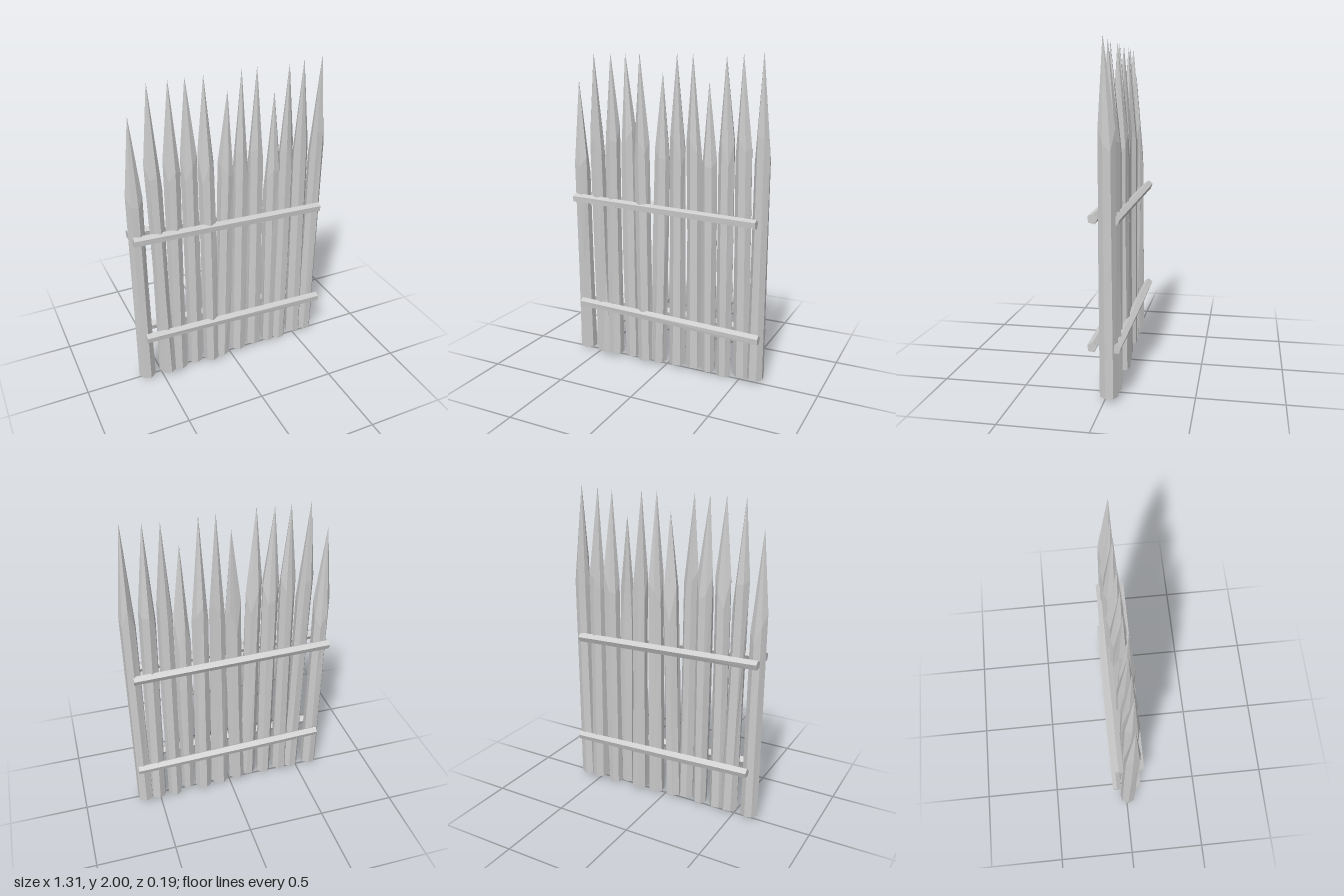
import * as THREE from 'three';

const material = new THREE.MeshStandardMaterial({ color: 0xcccccc, flatShading: true });

// Small seeded random, -1..1
function seeded(seed) {
  let s = seed * 7919 + 17;
  return () => {
    s = (s * 16807) % 2147483647;
    return (s / 2147483647) * 2 - 1;
  };
}

// Skin closed rings of n points each, with fans over both ends
function loft(rings) {
  const n = rings[0].length, pos = [], idx = [];
  rings.forEach((ring) => ring.forEach((p) => pos.push(p.x, p.y, p.z)));
  for (let r = 0; r < rings.length - 1; r++) {
    for (let i = 0; i < n; i++) {
      const j = (i + 1) % n, a = r * n + i, b = r * n + j;
      idx.push(a, a + n, b, b, a + n, b + n);
    }
  }
  const last = (rings.length - 1) * n;
  for (let i = 1; i < n - 1; i++) {
    idx.push(0, i, i + 1, last, last + i + 1, last + i);
  }
  const g = new THREE.BufferGeometry();
  g.setAttribute('position', new THREE.Float32BufferAttribute(pos, 3));
  g.setIndex(idx);
  g.computeVertexNormals();
  return g;
}

// Rough hewn stake: base, waist, uneven shoulder, point
function stakeGeometry([baseX, shoulderX, tipX, tipY, z, baseR, baseY = 0.022], seed) {
  const rnd = seeded(seed), n = 7;
  const turn = rnd() * 0.5;
  const levels = [
    { x: baseX, y: baseY, z: z - 0.005, r: baseR, jy: 0 },
    { x: (baseX + shoulderX) / 2, y: 0.75, z, r: 0.05, jy: 0.2 },
    { x: shoulderX, y: tipY - 0.55, z: z + 0.003, r: 0.049, jy: 0.11 },
    { x: tipX, y: tipY, z: z * 0.6 + 0.015, r: 0.0008, jy: 0 },
  ];
  return loft(levels.map((l) => Array.from({ length: n }, (_, i) => {
    const a = turn + (i / n) * Math.PI * 2;
    const r = l.r * (1 + rnd() * 0.06);
    return new THREE.Vector3(l.x + Math.cos(a) * r, l.y + rnd() * l.jy, l.z + Math.sin(a) * r);
  })));
}

// Five-sided rail between two points, slightly uneven along its length
function railGeometry(from, to, seed) {
  const rnd = seeded(seed), n = 5;
  const a = new THREE.Vector3(...from), b = new THREE.Vector3(...to);
  const turn = rnd() * 0.6;
  return loft([0, 0.35, 1].map((t) => {
    const c = a.clone().lerp(b, t);
    return Array.from({ length: n }, (_, i) => {
      const ang = turn - (i / n) * Math.PI * 2;
      const r = 0.03 * (1 + rnd() * 0.08);
      return new THREE.Vector3(c.x, c.y + Math.cos(ang) * r, c.z + Math.sin(ang) * r);
    });
  }));
}

export function createModel() {
  const group = new THREE.Group();
  group.name = 'palisade';
  const add = (geometry, name) => {
    const mesh = new THREE.Mesh(geometry, material);
    mesh.name = name;
    group.add(mesh);
  };

  // Stakes: base x, shoulder x, tip x, tip y, z, base radius, base y
  const stakes = [
    [-0.60, -0.605, -0.61, 1.82, 0.015, 0.053],
    [-0.457, -0.485, -0.495, 1.99, 0.02, 0.057],
    [-0.375, -0.37, -0.375, 1.99, 0.02, 0.053],
    [-0.255, -0.26, -0.275, 1.99, 0.01, 0.046],
    [-0.145, -0.16, -0.17, 1.99, 0.03, 0.053],
    [-0.055, -0.025, -0.02, 1.88, 0.01, 0.053],
    [0.07, 0.075, 0.07, 1.99, 0, 0.056],
    [0.19, 0.18, 0.17, 1.99, -0.01, 0.055],
    [0.295, 0.285, 0.28, 1.83, 0.01, 0.042],
    [0.39, 0.385, 0.38, 1.98, -0.01, 0.045, 0],
    [0.51, 0.49, 0.48, 1.99, -0.018, 0.055],
    [0.60, 0.605, 0.60, 2.0, -0.015, 0.053],
  ];
  stakes.forEach((s, i) => add(stakeGeometry(s, i + 1), `stake${i + 1}`));

  // Rails on both faces
  add(railGeometry([-0.64, 1.07, 0.064], [0.605, 1.03, 0.068], 21), 'frontUpperRail');
  add(railGeometry([-0.605, 0.355, 0.068], [0.64, 0.315, 0.066], 22), 'frontLowerRail');
  add(railGeometry([-0.64, 1.06, -0.06], [0.61, 1.025, -0.056], 23), 'backUpperRail');
  add(railGeometry([-0.605, 0.35, -0.069], [0.635, 0.31, -0.068], 24), 'backLowerRail');

  return group;
}
